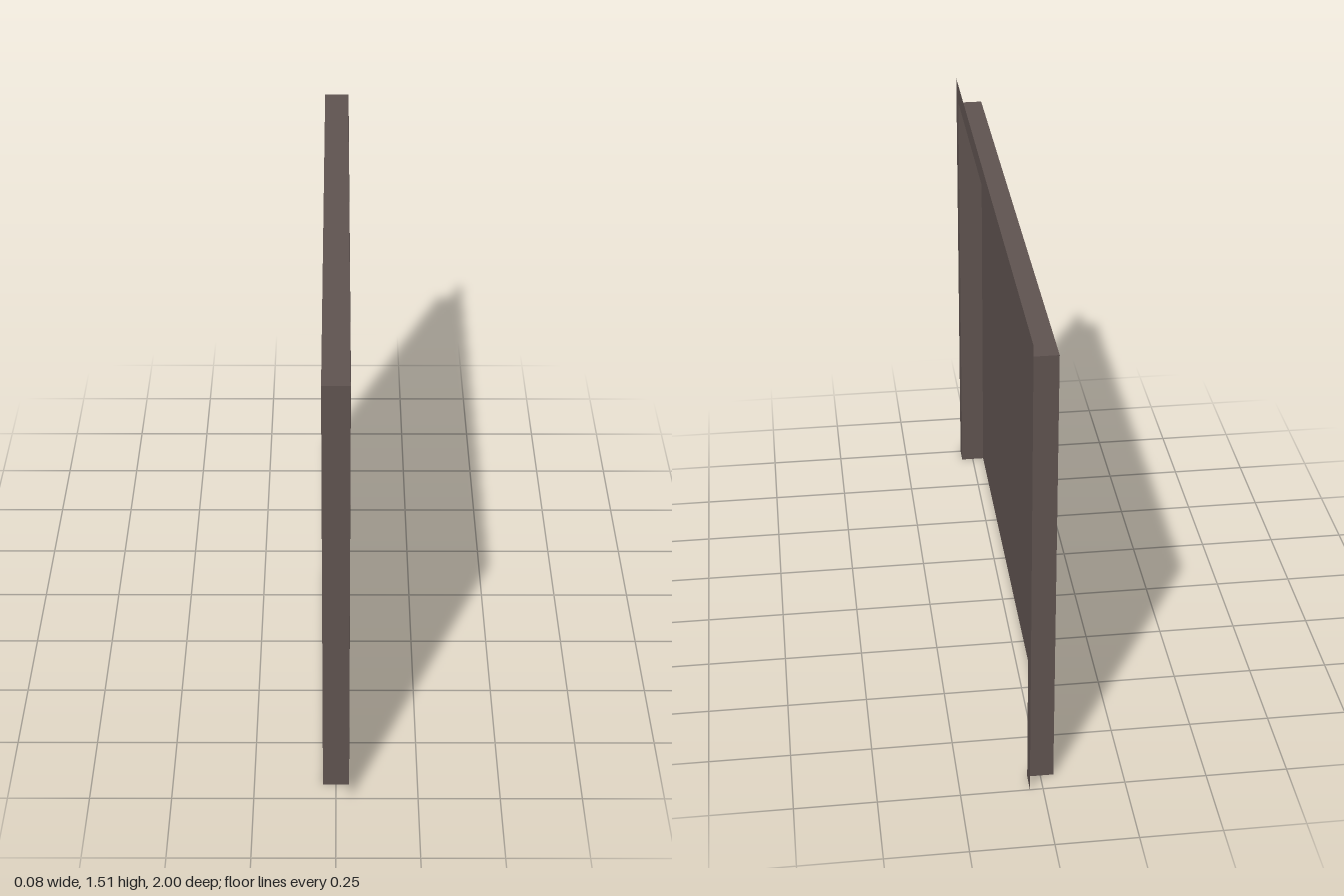
import * as THREE from 'three';

// Pressed sheet panel: shallow tray, open at the bottom, with a flat flange on three sides
const BACK = -0.04, FRONT = 0.04;        // x of the tray face and of the flange
const HALF = 0.938, TOP = 1.447;         // tray half width and height
const OUT_HALF = 1, OUT_TOP = 1.513;     // flange outline

export function createModel() {
  const group = new THREE.Group();
  group.name = 'panel';
  const brown = new THREE.MeshStandardMaterial({ color: 0x5f5350, side: THREE.DoubleSide });
  brown.name = 'dark brown';

  const add = (name, geometry, x, y, z) => {
    const mesh = new THREE.Mesh(geometry, brown);
    mesh.name = name;
    mesh.position.set(x, y, z);
    group.add(mesh);
  };

  const depth = FRONT - BACK;
  const midX = (FRONT + BACK) / 2;

  // Large recessed face
  add('trayFace', new THREE.PlaneGeometry(2 * HALF, TOP).rotateY(Math.PI / 2), BACK, TOP / 2, 0);

  // Side and top walls of the tray
  for (const s of [1, -1]) {
    const wall = new THREE.PlaneGeometry(depth, TOP);
    if (s < 0) wall.rotateY(Math.PI);
    add(s > 0 ? 'frontWall' : 'backWall', wall, midX, TOP / 2, s * HALF);
  }
  add('topWall', new THREE.PlaneGeometry(depth, 2 * HALF).rotateX(-Math.PI / 2), midX, TOP, 0);

  // Flange: one flat arch-shaped sheet
  const outline = [
    [-OUT_HALF, 0], [-HALF, 0], [-HALF, TOP], [HALF, TOP],
    [HALF, 0], [OUT_HALF, 0], [OUT_HALF, OUT_TOP], [-OUT_HALF, OUT_TOP],
  ];
  const arch = new THREE.Shape(outline.map(([u, v]) => new THREE.Vector2(u, v)));
  add('flange', new THREE.ShapeGeometry(arch).rotateY(Math.PI / 2), FRONT, 0, 0);

  return group;
}
